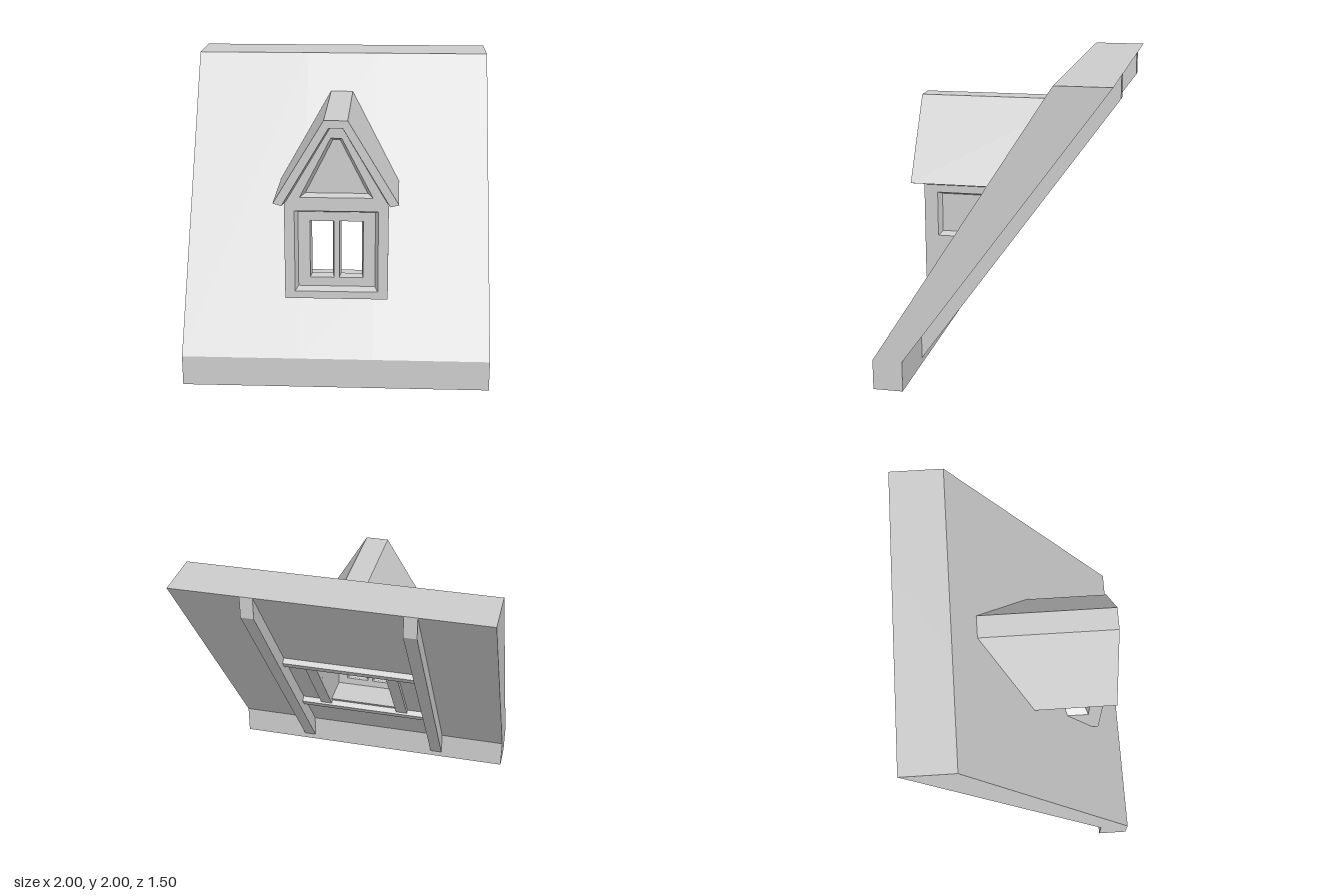
import * as THREE from 'three';

const material = new THREE.MeshStandardMaterial({ color: 0xcccccc, flatShading: true });
const thin = new THREE.MeshStandardMaterial({ color: 0xcccccc, flatShading: true, side: THREE.DoubleSide });

const rect = (x0, y0, x1, y1, inset = 0) => [
  [x0 + inset, y0 + inset], [x1 - inset, y0 + inset], [x1 - inset, y1 - inset], [x0 + inset, y1 - inset]];

// mirrors a half outline about x = 0 into a closed one
const mirrored = (half) => [...half, ...half.map(([x, y]) => [-x, y]).reverse()];

function extrude(points, depth, holes = []) {
  const toVec = (list) => list.map(([a, b]) => new THREE.Vector2(a, b));
  const shape = new THREE.Shape(toVec(points));
  for (const h of holes) shape.holes.push(new THREE.Path(toVec(h)));
  return new THREE.ExtrudeGeometry(shape, { depth, bevelEnabled: false });
}

// plate lying in the xy plane between two z values
const plateZ = (points, z0, z1, holes) => extrude(points, z1 - z0, holes).translate(0, 0, z0);

// side profile of (z, y) points swept between two x values
const sweepX = (profile, x0, x1, holes) =>
  extrude(profile, x1 - x0, holes).rotateY(-Math.PI / 2).translate(x1, 0, 0);

// middle of the sloping slab, where the dormer's parts end
const slabMiddle = (y) => 0.6525 - (y - 0.2) * 0.682;

// section running back from z1 and cut off inside the slab
function runIntoSlab(points, z1) {
  const g = plateZ(points, z1 - 2, z1);
  const p = g.attributes.position;
  for (let i = 0; i < p.count; i++) {
    if (p.getZ(i) < z1 - 1) p.setZ(i, slabMiddle(p.getY(i)));
  }
  g.computeVertexNormals();
  return g;
}

// strip joining outline a at depth da to outline b at depth db
function reveal(a, b, da, db, place = (u, v, d) => [u, v, d], closed = true) {
  const pos = [];
  const count = closed ? a.length : a.length - 1;
  for (let i = 0; i < count; i++) {
    const j = (i + 1) % a.length;
    const [p, q, r, s] = [[a[i], da], [a[j], da], [b[j], db], [b[i], db]].map(([pt, d]) => place(pt[0], pt[1], d));
    pos.push(...p, ...q, ...r, ...p, ...r, ...s);
  }
  const g = new THREE.BufferGeometry();
  g.setAttribute('position', new THREE.Float32BufferAttribute(pos, 3));
  g.computeVertexNormals();
  return g;
}

export function createModel() {
  const model = new THREE.Group();
  const add = (name, geometry, mat = material) => {
    const mesh = new THREE.Mesh(geometry, mat);
    mesh.name = name;
    model.add(mesh);
  };

  // main roof slab, in four pieces round the opening
  const room = { x: 0.24, y0: 0.63, y1: 1.14 };
  const front = (y) => [0.75 - (y - 0.2) * 1.15 / 1.8, y];
  const back = (y) => [0.555 - (y - 0.2) * 1.305 / 1.8, y];
  const foot = [[0.555, 0.2], [0.555, 0], [0.75, 0], [0.75, 0.2]];
  const slab = [...foot, [-0.4, 2], [-0.75, 2]];
  add('roofSlabRight', sweepX(slab, -1, -room.x));
  add('roofSlabLeft', sweepX(slab, room.x, 1));
  add('roofSlabBelowOpening', sweepX([...foot, front(room.y0), back(room.y0)], -room.x, room.x));
  add('roofSlabAboveOpening', sweepX([front(room.y1), [-0.4, 2], [-0.75, 2], back(room.y1)], -room.x, room.x));

  // rafters, trimmers and cross beams on the underside
  const under = (t, d) => [0.555 - t - 0.81 * d, 0.2 + 1.379 * t - 0.587 * d];
  const batten = (t0, t1, d) => [under(t0, 0), under(t1, 0), under(t1, d), under(t0, d)];
  const rafter = [[0.555, 0.2], [-0.75, 2], [-0.75, 1.855], [0.555, 0.04]];
  for (const s of [-1, 1]) {
    add('rafter', sweepX(rafter, s * 0.5 - 0.042, s * 0.5 + 0.042));
    add('openingTrimmer', sweepX(batten(0.294, 0.705, 0.025), s * 0.28 - 0.04, s * 0.28 + 0.04));
  }
  add('lowerCrossBeam', sweepX(batten(0.257, 0.294, 0.04), -0.46, 0.46));
  add('upperCrossBeam', sweepX(batten(0.705, 0.74, 0.04), -0.46, 0.46));

  // dormer front wall with a window recess and a gable recess
  const zFace = 0.57, zPanel = 0.52, zInner = 0.46;
  const wall = mirrored([[0.335, 0.55], [0.335, 1.2], [0.345, 1.205], [0.045, 1.71]]);
  const windowOuter = rect(-0.27, 0.6, 0.27, 1.15);
  const windowInner = rect(-0.27, 0.6, 0.27, 1.15, 0.02);
  const gableOuter = mirrored([[0.235, 1.24], [0.035, 1.63]]);
  const gableInner = mirrored([[0.2, 1.257], [0.022, 1.61]]);
  add('frontWall', plateZ(wall, zPanel, zFace, [windowOuter, gableOuter]));
  add('windowReveal', reveal(windowOuter, windowInner, zFace, zPanel), thin);
  add('gableReveal', reveal(gableOuter, gableInner, zFace, zPanel), thin);

  // window frame with two open lights
  const lights = [-1, 1].map((s) => [s * 0.095 - 0.078, 0.68, s * 0.095 + 0.078, 1.068]);
  add('windowFrame', plateZ(rect(-0.285, 0.55, 0.285, 1.2), zInner, zPanel, lights.map((l) => rect(...l))));
  for (const l of lights) {
    add('windowLightReveal', reveal(rect(...l), rect(...l, 0.01), zPanel, zInner), thin);
  }

  // dormer floor and solid gable top
  add('dormerFloor', runIntoSlab(rect(-0.335, 0.55, 0.335, room.y0), zPanel));
  add('dormerCeiling', runIntoSlab(rect(-0.285, room.y1, 0.285, 1.2), zPanel));
  add('gable', runIntoSlab(mirrored([[0.335, 1.2], [0.345, 1.205], [0.045, 1.71]]), zPanel));

  // dormer side walls with a recessed panel each
  const cheek = [[zPanel, 0.55], [zPanel, 1.2], [slabMiddle(1.2), 1.2], [slabMiddle(0.55), 0.55]];
  const cheekOuter = [[0.48, 0.85], [0.48, 1.15], [0.05, 1.15], [0.25, 0.85]];
  const cheekInner = [[0.46, 0.87], [0.46, 1.13], [0.05, 1.13], [0.25, 0.87]];
  for (const s of [-1, 1]) {
    const between = (a, b) => [Math.min(s * a, s * b), Math.max(s * a, s * b)];
    add('sideWall', sweepX(cheek, ...between(0.285, 0.335), [cheekOuter]));
    add('sidePanel', sweepX(cheek, ...between(room.x, 0.285)));
    add('sideReveal', reveal(cheekOuter, cheekInner, 0.335, 0.285, (z, y, x) => [s * x, y, z]), thin);
  }

  // dormer roof and the tapered soffit under its front overhang
  const roofUnder = mirrored([[0.345, 1.205], [0.045, 1.71]]);
  const soffitBack = mirrored([[0.325, 1.208], [0.037, 1.698]]);
  const roof = [[-0.4, 1.22], [-0.075, 1.76], [0.075, 1.76], [0.4, 1.22], ...roofUnder];
  add('dormerRoof', runIntoSlab(roof, 0.645));
  add('soffit', reveal(roofUnder, soffitBack, 0.645, zFace, undefined, false), thin);

  return model;
}
